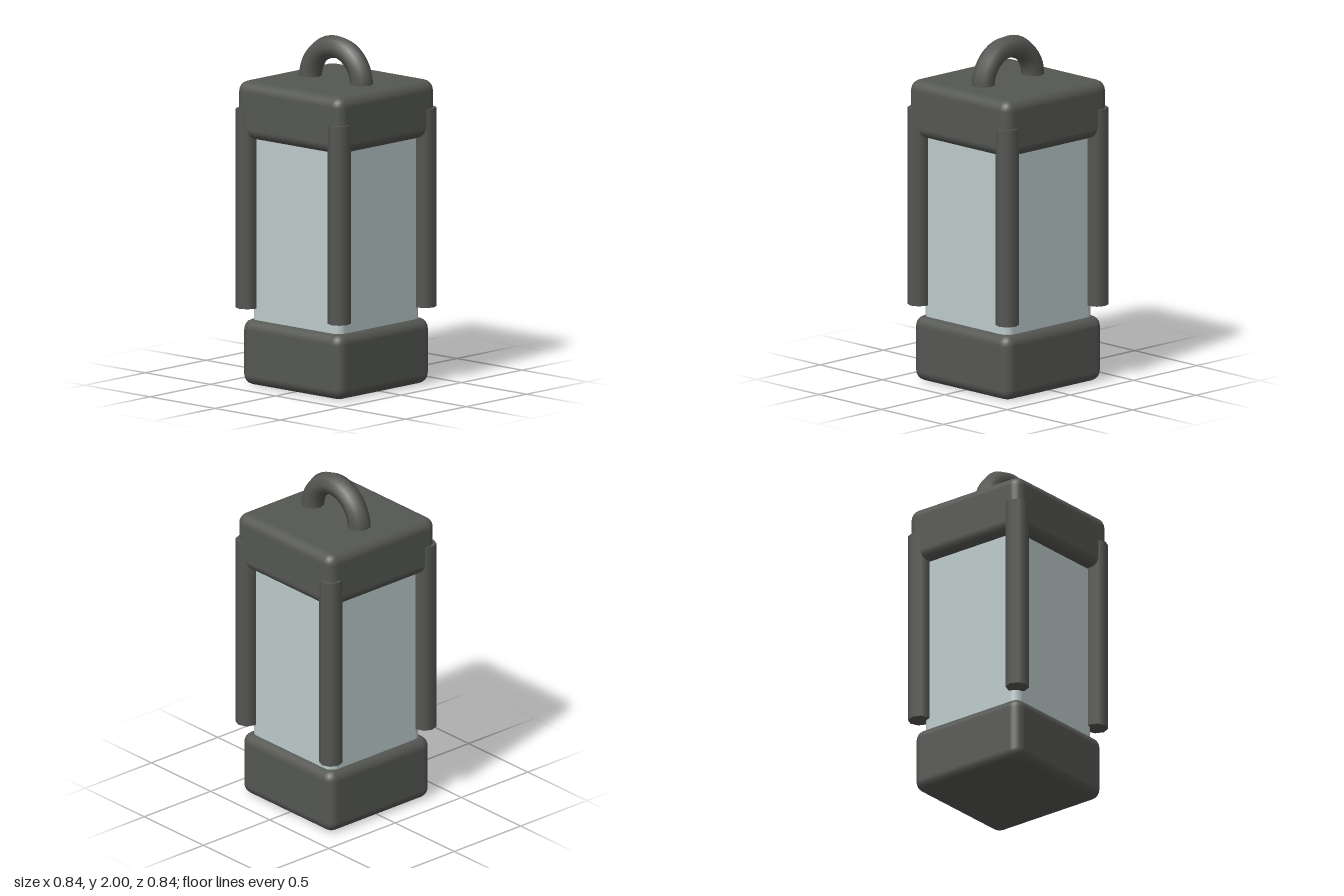
import * as THREE from 'three';
import { RoundedBoxGeometry } from 'three/addons/geometries/RoundedBoxGeometry.js';

export function createModel() {
  const lantern = new THREE.Group();
  lantern.name = 'lantern';

  const metal = new THREE.MeshStandardMaterial({ color: 0x555753 });
  metal.name = 'dark grey metal';
  const glass = new THREE.MeshStandardMaterial({ color: 0xbccaca });
  glass.name = 'pale glass';

  function add(name, geometry, material, x, y, z) {
    const mesh = new THREE.Mesh(geometry, material);
    mesh.name = name;
    mesh.position.set(x, y, z);
    lantern.add(mesh);
    return mesh;
  }

  // Square block with softened edges, spanning two heights
  function block(name, width, bottom, top, radius, material) {
    const geometry = new RoundedBoxGeometry(width, top - bottom, width, 3, radius);
    add(name, geometry, material, 0, (bottom + top) / 2, 0);
  }

  block('base', 0.766, 0.004, 0.38, 0.06, metal);
  block('glassPane', 0.684, 0.28, 1.52, 0.05, glass);
  block('cap', 0.806, 1.417, 1.745, 0.06, metal);

  // Four corner posts, hanging from the cap and stopping short of the base
  const postGeometry = new THREE.CylinderGeometry(0.066, 0.066, 1.14, 8);
  for (const x of [-1, 1]) {
    for (const z of [-1, 1]) {
      const name = (z > 0 ? 'front' : 'back') + (x > 0 ? 'Left' : 'Right') + 'Post';
      add(name, postGeometry, metal, x * 0.354, 1.015, z * 0.354);
    }
  }

  // Half-ring carrying handle
  add('handle', new THREE.TorusGeometry(0.196, 0.065, 8, 20, Math.PI), metal, 0, 1.739, 0);

  return lantern;
}
